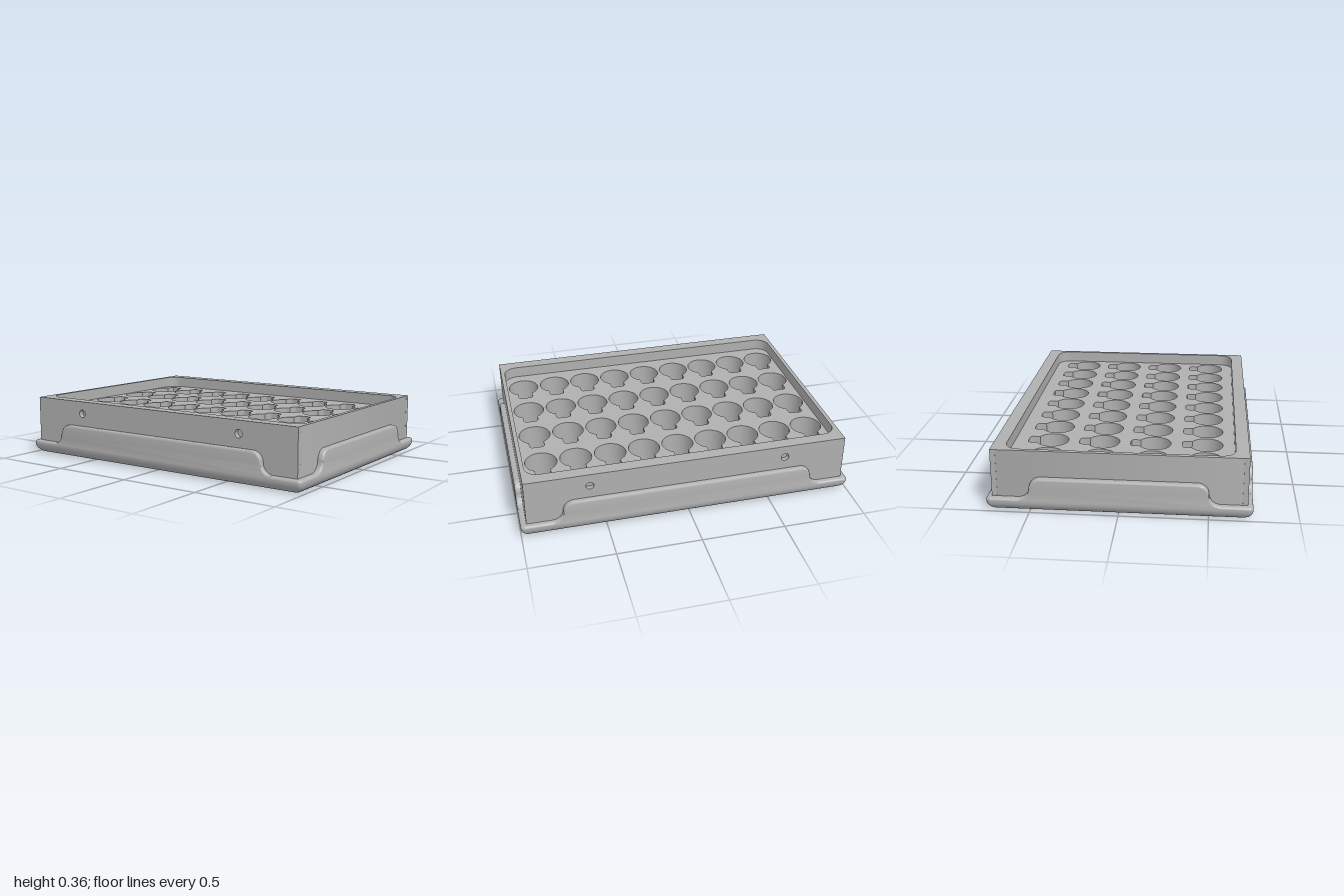
import * as THREE from 'three';
import { toCreasedNormals } from 'three/addons/utils/BufferGeometryUtils.js';

const BASE_TOP = 0.08, FLOOR = 0.29, TOP = 0.36, SHOULDER = 0.205;
const BLOCK_X = 0.965, BLOCK_Z = 0.715, SKIN = 0.03;

// rounded rectangle centred on the origin
function roundedRect(Type, hx, hy, r) {
  const p = new Type();
  p.moveTo(hx, -hy + r);
  p.lineTo(hx, hy - r);
  p.absarc(hx - r, hy - r, r, 0, Math.PI / 2);
  p.absarc(-hx + r, hy - r, r, Math.PI / 2, Math.PI);
  p.absarc(-hx + r, -hy + r, r, Math.PI, Math.PI * 1.5);
  p.absarc(hx - r, -hy + r, r, Math.PI * 1.5, Math.PI * 2);
  return p;
}

// plan shape (x, -z) raised from y0 to y1
function raise(shape, y0, y1) {
  const g = new THREE.ExtrudeGeometry(shape, { depth: y1 - y0, bevelEnabled: false, curveSegments: 14 });
  g.rotateX(-Math.PI / 2).translate(0, y0, 0);
  return toCreasedNormals(g, 0.6);
}

// round well with a finger notch towards the back
function keyhole(cx, cy) {
  const r = 0.095, w = 0.045, end = 0.14, c = 0.02, a = Math.acos(w / r);
  const p = new THREE.Path();
  p.absarc(cx, cy, r, Math.PI - a, Math.PI * 2 + a);
  p.lineTo(cx + w, cy + end - c);
  p.absarc(cx + w - c, cy + end - c, c, 0, Math.PI / 2);
  p.absarc(cx - w + c, cy + end - c, c, Math.PI / 2, Math.PI);
  p.closePath();
  return p;
}

// base slab lofted through rounded rectangles, with a rolled lower edge
function baseGeometry() {
  const R = 0.06, r = 0.014, rings = [], pos = [], index = [];
  for (let i = 0; i <= 8; i++) {
    const t = (i / 8) * Math.PI / 2;
    rings.push([R * (1 - Math.cos(t)), R * (1 - Math.sin(t))]);
  }
  for (let i = 0; i <= 4; i++) {
    const t = (i / 4) * Math.PI / 2;
    rings.push([BASE_TOP - r + r * Math.sin(t), r * (1 - Math.cos(t))]);
  }
  let n = 0;
  for (const [y, inset] of rings) {
    const pts = roundedRect(THREE.Path, 1 - inset, 0.745 - inset, 0.025).getPoints(5);
    n = pts.length;
    pts.forEach((p) => pos.push(p.x, y, -p.y));
  }
  for (let k = 0; k < rings.length - 1; k++) {
    for (let i = 0; i < n; i++) {
      const a = k * n + i, b = k * n + (i + 1) % n;
      index.push(a, b, b + n, a, b + n, a + n);
    }
  }
  const last = (rings.length - 1) * n;
  for (let i = 1; i < n - 1; i++) {
    index.push(0, i + 1, i, last, last + i, last + i + 1);
  }
  const g = new THREE.BufferGeometry();
  g.setAttribute('position', new THREE.Float32BufferAttribute(pos, 3));
  g.setIndex(index);
  return toCreasedNormals(g, 0.6);
}

// raised skirt panel with S-curved ends, its outer face at z = out
function skirtGeometry(a, out) {
  const f = 0.065, low = 0.05, bevel = 0.012, depth = 0.06;
  const s = new THREE.Shape();
  s.moveTo(-a - f, low);
  s.lineTo(a + f, low);
  s.lineTo(a + f, BASE_TOP);
  s.absarc(a + f, BASE_TOP + f, f, Math.PI * 1.5, Math.PI, true);
  s.absarc(a - f, SHOULDER - f, f, 0, Math.PI / 2);
  s.absarc(-a + f, SHOULDER - f, f, Math.PI / 2, Math.PI);
  s.absarc(-a - f, BASE_TOP + f, f, 0, -Math.PI / 2, true);
  s.closePath();
  const g = new THREE.ExtrudeGeometry(s, {
    depth: depth - 2 * bevel, bevelThickness: bevel, bevelSize: bevel,
    bevelOffset: -bevel, bevelSegments: 3, curveSegments: 10,
  });
  g.translate(0, 0, out - depth + bevel);
  return toCreasedNormals(g, 0.6);
}

// long wall plate with two blind holes
function wallGeometry() {
  const s = new THREE.Shape();
  s.moveTo(-BLOCK_X, BASE_TOP);
  s.lineTo(BLOCK_X, BASE_TOP);
  s.lineTo(BLOCK_X, TOP);
  s.lineTo(-BLOCK_X, TOP);
  s.closePath();
  for (const x of [-0.588, 0.588]) {
    s.holes.push(new THREE.Path().absarc(x, 0.284, 0.024, 0, Math.PI * 2));
  }
  const g = new THREE.ExtrudeGeometry(s, { depth: SKIN, bevelEnabled: false, curveSegments: 12 });
  g.translate(0, 0, BLOCK_Z - SKIN);
  return toCreasedNormals(g, 0.6);
}

export function createModel() {
  const group = new THREE.Group();
  group.name = 'wellTray';
  const grey = new THREE.MeshStandardMaterial({ color: 0xb0b0b0 });
  grey.name = 'plain grey';
  const add = (name, geometry, turn = 0) => {
    const m = new THREE.Mesh(geometry, grey);
    m.name = name;
    m.rotation.y = turn;
    group.add(m);
  };

  add('base', baseGeometry());

  // block pierced by a 9 by 4 grid of wells
  const coreZ = BLOCK_Z - SKIN;
  const plate = roundedRect(THREE.Shape, BLOCK_X, coreZ, 0.001);
  for (let row = 0; row < 4; row++) {
    for (let col = 0; col < 9; col++) {
      plate.holes.push(keyhole((col - 4) * 0.208 - 0.003, 0.422 - row * 0.3));
    }
  }
  add('wellBlock', raise(plate, BASE_TOP, FLOOR));

  // rim around the recessed top
  const rim = roundedRect(THREE.Shape, BLOCK_X, coreZ, 0.001);
  rim.holes.push(roundedRect(THREE.Path, 0.94, 0.64, 0.08));
  add('rim', raise(rim, FLOOR, TOP));

  // front and back walls, and skirt panels on all four sides
  const wall = wallGeometry();
  const longSkirt = skirtGeometry(0.75, 0.745), shortSkirt = skirtGeometry(0.5, 1);
  add('frontWall', wall);
  add('backWall', wall, Math.PI);
  add('frontSkirt', longSkirt);
  add('backSkirt', longSkirt, Math.PI);
  add('leftSkirt', shortSkirt, Math.PI / 2);
  add('rightSkirt', shortSkirt, -Math.PI / 2);
  return group;
}
